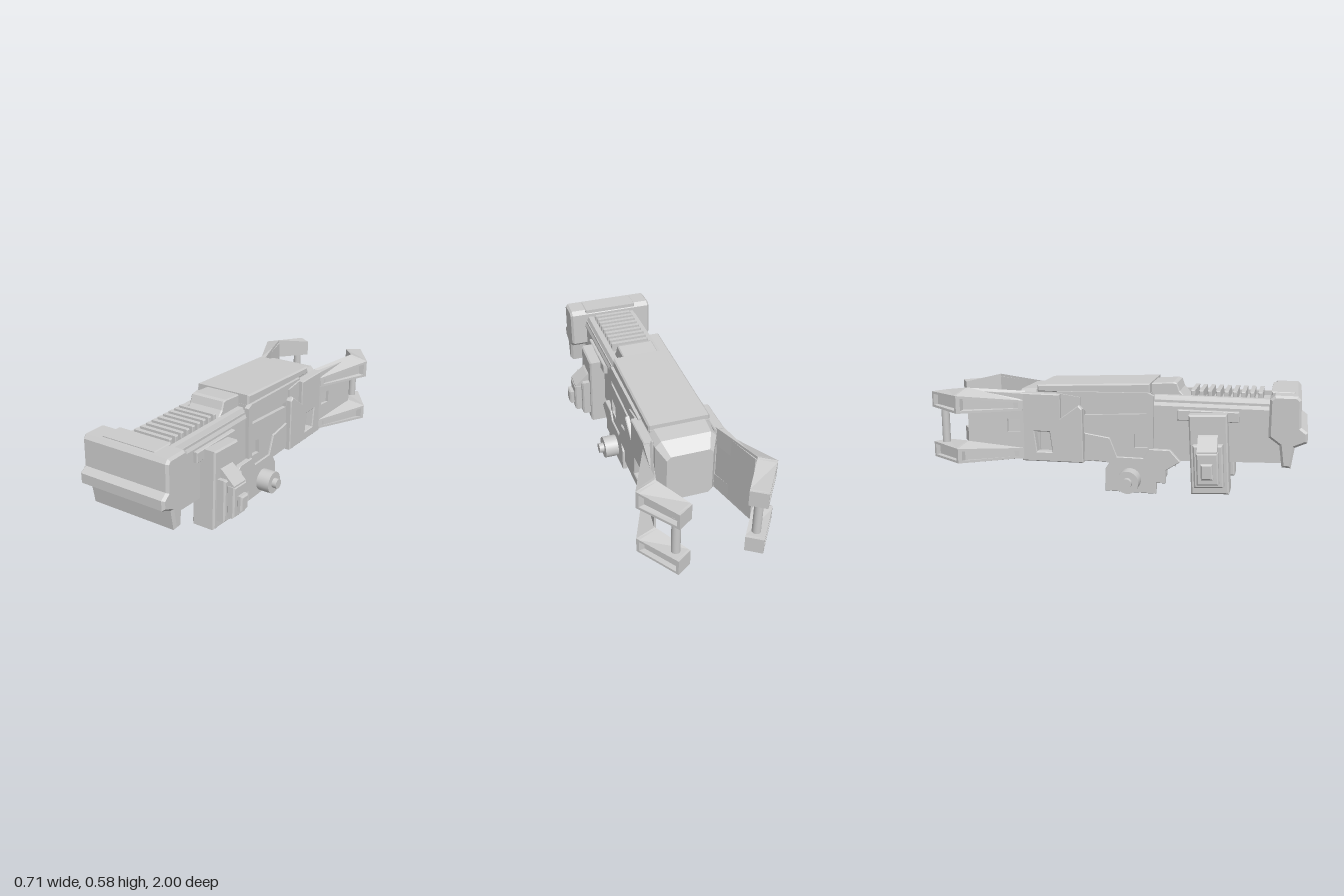
import * as THREE from 'three';

const flat = new THREE.MeshStandardMaterial({ color: 0xcccccc, flatShading: true });
const smooth = new THREE.MeshStandardMaterial({ color: 0xcccccc });

// Side profile of [z, y] points, extruded across x from x0 to x1
function side(profile, x0, x1, bevel = 0, holes = []) {
  const toVec = (p) => p.map(([z, y]) => new THREE.Vector2(z, y));
  const shape = new THREE.Shape(toVec(profile));
  for (const h of holes) shape.holes.push(new THREE.Path(toVec(h)));
  const g = new THREE.ExtrudeGeometry(shape, {
    depth: x1 - x0 - 2 * bevel, bevelEnabled: bevel > 0, bevelSize: bevel,
    bevelThickness: bevel, bevelOffset: -bevel, bevelSegments: 1,
  });
  return g.rotateY(-Math.PI / 2).translate(x1 - bevel, 0, 0);
}

const rect = (z0, z1, y0, y1) => [[z0, y0], [z1, y0], [z1, y1], [z0, y1]];
const block = (x0, x1, y0, y1, z0, z1, bevel = 0.008) => side(rect(z0, z1, y0, y1), x0, x1, bevel);

// Skin a list of equal-length point rings, closing both ends
function loft(rings) {
  const n = rings[0].length, pos = rings.flat(2), idx = [];
  for (let r = 0; r < rings.length - 1; r++) {
    for (let i = 0; i < n; i++) {
      const a = r * n + i, b = r * n + (i + 1) % n;
      idx.push(a, b, a + n, b, b + n, a + n);
    }
  }
  const last = (rings.length - 1) * n;
  for (let i = 1; i < n - 1; i++) idx.push(0, i + 1, i, last, last + i, last + i + 1);
  const g = new THREE.BufferGeometry();
  g.setAttribute('position', new THREE.Float32BufferAttribute(pos, 3));
  g.setIndex(idx);
  g.computeVertexNormals();
  return g;
}

// Mirrored copy across x = 0, with the corner order put right
function mirrored(geometry) {
  const g = geometry.index ? geometry.toNonIndexed() : geometry.clone();
  g.scale(-1, 1, 1);
  for (const a of Object.values(g.attributes)) {
    const s = a.itemSize;
    for (let i = 0; i < a.count; i += 3) {
      for (let k = 0; k < s; k++) {
        const p = (i + 1) * s + k, q = (i + 2) * s + k;
        [a.array[p], a.array[q]] = [a.array[q], a.array[p]];
      }
    }
  }
  return g;
}

// Jaw: a bent bar whose outer faces are sunk between narrow rims
function jaw(heights) {
  const stations = [
    { i: [0.165, -0.48], o: [0.21, -0.48] },
    { i: [0.25, -0.78], o: [0.347, -0.8] },
    { i: [0.135, -0.95], o: [0.21, -1.0] },
  ].map((s, k) => ({ ...s, h: heights[k] }));
  const mix = (a, b, t) => a.map((v, k) => v + (b[k] - v) * t);
  const ring = (seg, t, depth) => {
    const A = stations[seg], B = stations[seg + 1];
    const i = mix(A.i, B.i, t), o = mix(A.o, B.o, t), [ib, it, ob, ot] = mix(A.h, B.h, t);
    const at = (s, rim, top) => {
      const y = top ? it + (ot - it) * s - rim : ib + (ob - ib) * s + rim;
      return [i[0] + (o[0] - i[0]) * s, y, i[1] + (o[1] - i[1]) * s];
    };
    const d = 1 - depth, r = 0.013;
    return [at(0, 0, true), at(1, 0, true), at(1, r, true), at(d, r, true),
      at(d, r, false), at(1, r, false), at(1, 0, false), at(0, 0, false)];
  };
  const rings = [];
  for (const seg of [0, 1]) {
    rings.push(ring(seg, 0, 0), ring(seg, 0.07, 0), ring(seg, 0.07, 0.3),
      ring(seg, 0.94, 0.3), ring(seg, 0.94, 0), ring(seg, 1, 0));
  }
  return loft(rings);
}

// One layer of the flared arm plate, between fractions u0 and u1 of its thickness
function armLayer(u0, u1, holes) {
  const g = side([[-0.47, 0.155], [-0.47, 0.51], [-0.775, 0.525], [-0.775, 0.16]], u0, u1, 0, holes);
  const p = g.attributes.position;
  for (let i = 0; i < p.count; i++) {
    const t = (-0.47 - p.getZ(i)) / 0.305, inner = 0.167 + 0.075 * t, outer = 0.207 + 0.045 * t;
    p.setX(i, inner + (outer - inner) * p.getX(i));
  }
  g.computeVertexNormals();
  return g;
}

export function createModel() {
  const model = new THREE.Group();
  const add = (name, geometry, material = flat) => {
    const m = new THREE.Mesh(geometry, material);
    m.name = name;
    model.add(m);
  };
  const pair = (name, geometry, material = flat) => {
    add(name + 'Left', geometry, material);
    add(name + 'Right', mirrored(geometry), material);
  };

  // Core body, from the neck behind the head to the rear block
  add('coreBody', side([[0.9, 0.2], [0.86, 0.5], [0.2, 0.5], [0.2, 0.53], [-0.42, 0.53], [-0.42, 0.15],
    [-0.1, 0.15], [0.3, 0.14], [0.36, 0.18]], -0.155, 0.155));
  const rearRing = (z, w, y0, y1, c) => [[-w + c, y0, z], [w - c, y0, z], [w, y0 + c, z], [w, y1 - c, z],
    [w - c, y1, z], [-w + c, y1, z], [-w, y1 - c, z], [-w, y0 + c, z]].reverse();
  add('rearBlock', loft([rearRing(-0.4, 0.165, 0.148, 0.535, 0.03), rearRing(-0.51, 0.158, 0.148, 0.525, 0.03),
    rearRing(-0.575, 0.12, 0.2, 0.47, 0.02)]));

  // Head with its projecting ridge and raised top plate
  add('head', side([[0.81, 0.54], [0.835, 0.56], [0.945, 0.56], [0.962, 0.54], [0.967, 0.405], [1.0, 0.38],
    [1.0, 0.33], [0.94, 0.303], [0.925, 0.197], [0.88, 0.2], [0.865, 0.31], [0.81, 0.35]],
    -0.248, 0.248, 0.012));
  add('headTopPlate', block(-0.155, 0.155, 0.53, 0.564, 0.815, 0.93, 0.006));

  // Top channel: sloped rails and cooling ribs
  const railRing = (z) => [[0.11, 0.46, z], [0.163, 0.46, z], [0.163, 0.47, z], [0.14, 0.522, z], [0.11, 0.522, z]];
  pair('topRail', loft([railRing(0.22), railRing(0.84)]));
  for (let i = 0; i < 9; i++) {
    const z = 0.415 + i * 0.043;
    add('coolingRib', block(-0.108, 0.108, 0.49, 0.548, z - 0.011, z + 0.011, 0.004));
  }
  add('ribStop', side([[0.39, 0.49], [0.345, 0.54], [0.33, 0.58], [0.31, 0.585], [0.18, 0.575], [0.18, 0.49]],
    -0.1, 0.1, 0.006));
  add('topCover', side([[0.198, 0.52], [0.198, 0.583], [-0.415, 0.555], [-0.415, 0.515]], -0.16, 0.16, 0.008));

  // Middle side plates with a long slot and a window
  pair('middlePlate', side([[0.22, 0.16], [0.22, 0.52], [0.19, 0.535], [-0.3, 0.525], [-0.3, 0.16]], 0.15, 0.176, 0,
    [[[0.185, 0.452], [0.185, 0.425], [-0.15, 0.405], [-0.15, 0.432]],
      [[0.19, 0.33], [0.12, 0.315], [0.12, 0.24], [0.19, 0.245]]]));

  // Pivot brackets hanging below, and the cross roller
  pair('pivotBracket', side([[0.365, 0.18], [0.31, 0.24], [0.2, 0.24], [0.17, 0.19], [0.03, 0.19], [-0.01, 0.29],
    [-0.15, 0.31], [-0.15, 0.16], [-0.01, 0.16], [-0.035, 0.12], [-0.035, 0], [0.24, 0], [0.24, 0.06],
    [0.29, 0.06], [0.29, 0.13]], 0.158, 0.186, 0.003));
  const across = (r, x0, x1) => new THREE.CylinderGeometry(r, r, x1 - x0, 32)
    .rotateZ(Math.PI / 2).translate((x0 + x1) / 2, 0.073, 0.1);
  add('crossRoller', across(0.06, -0.26, 0.26), smooth);
  pair('rollerCap', across(0.027, 0.25, 0.287), smooth);

  // Side pods: stepped boxes, tilted slightly
  const tilt = (g) => g.translate(0, -0.24, -0.518).rotateX(-0.056).translate(0, 0.24, 0.518);
  const around = (x0, x1, y0, y1, half) => tilt(block(x0, x1, y0, y1, 0.518 - half, 0.518 + half));
  pair('podMount', block(0.15, 0.178, 0.4, 0.455, 0.345, 0.66, 0.004));
  pair('podBody', around(0.11, 0.24, 0.034, 0.447, 0.097));
  pair('podStep', around(0.23, 0.285, 0.08, 0.3, 0.075));
  pair('podPanel', around(0.28, 0.325, 0.105, 0.27, 0.055));
  pair('podKnob', around(0.32, 0.353, 0.14, 0.22, 0.03));
  const wedgeRing = (z) => [[0.235, 0.25, z], [0.32, 0.25, z], [0.32, 0.275, z], [0.25, 0.34, z], [0.235, 0.35, z]];
  pair('podWedge', tilt(loft([wedgeRing(0.468), wedgeRing(0.568)])));

  // Rear side armour with a window and a notched shoulder
  pair('rearArmour', side([[-0.15, 0.15], [-0.155, 0.44], [-0.175, 0.46], [-0.275, 0.385], [-0.275, 0.515],
    [-0.49, 0.515], [-0.49, 0.145]], 0.155, 0.208, 0.005,
    [[[-0.335, 0.31], [-0.42, 0.31], [-0.405, 0.2], [-0.32, 0.2]]]));
  pair('armourShoulder', side([[-0.17, 0.45], [-0.17, 0.5], [-0.275, 0.515], [-0.275, 0.38]], 0.15, 0.185));

  // Arm plates behind the armour, with a sunken window
  pair('armPlateInner', armLayer(0, 0.5, []));
  pair('armPlateOuter', armLayer(0.5, 1, [[[-0.495, 0.375], [-0.565, 0.375], [-0.565, 0.305], [-0.495, 0.305]]]));

  // Jaws: heights are inner bottom, inner top, outer bottom, outer top
  pair('upperJaw', jaw([[0.42, 0.52, 0.42, 0.475], [0.43, 0.54, 0.415, 0.51], [0.42, 0.505, 0.42, 0.505]]));
  pair('lowerJaw', jaw([[0.148, 0.23, 0.16, 0.215], [0.14, 0.25, 0.145, 0.225], [0.14, 0.225, 0.14, 0.225]]));
  pair('jawRod', new THREE.CylinderGeometry(0.022, 0.022, 0.23, 20).translate(0.2, 0.325, -0.93), smooth);

  return model;
}
